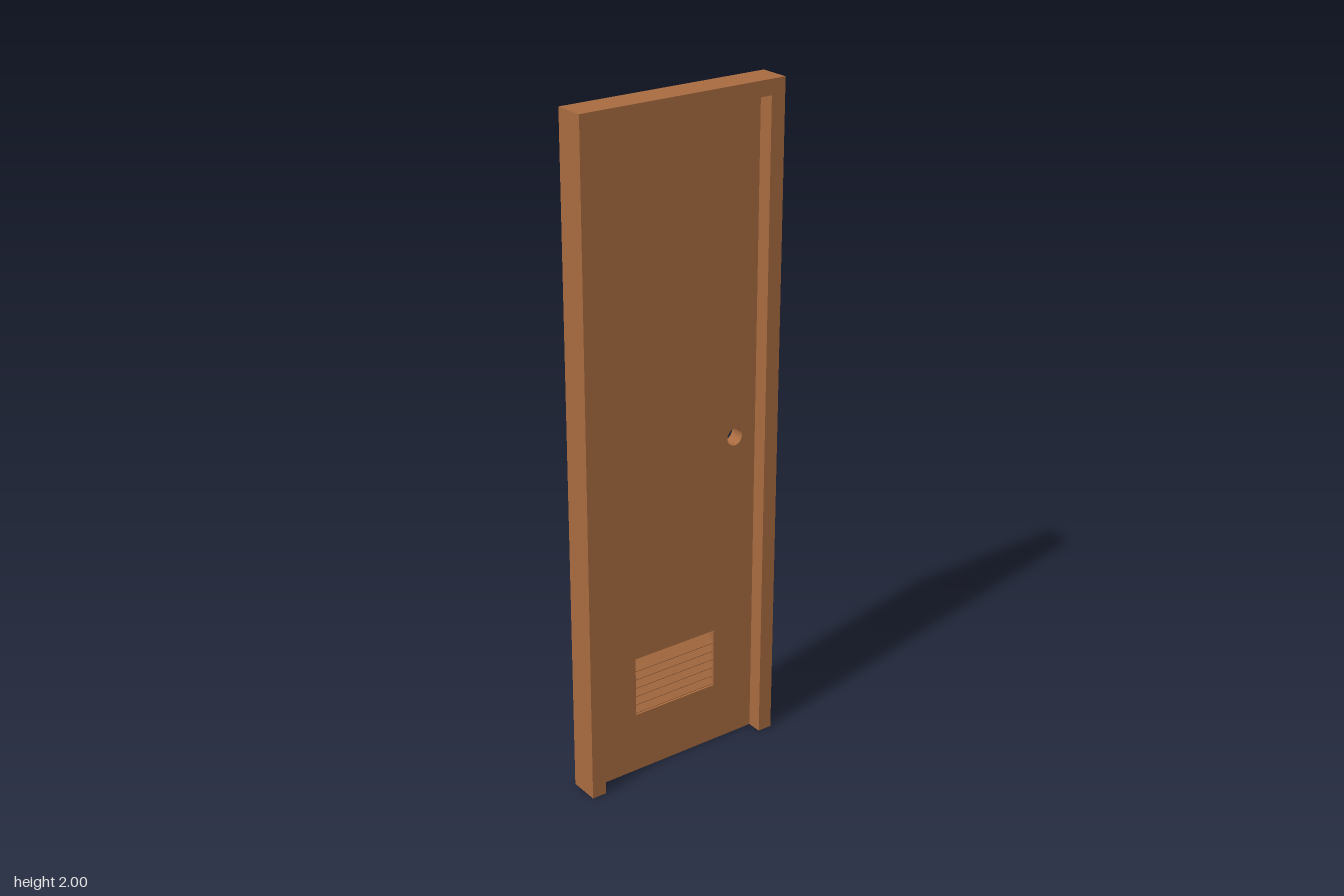
import * as THREE from 'three';

const H = 2, HALF_W = 0.325, HALF_T = 0.046;   // overall frame size
const IN_W = 0.28, IN_H = 1.956;               // opening inside the frame

// Extrude a flat outline (drawn as seen from +x) between two x positions
function panel(name, shape, x0, x1, material) {
  const geo = new THREE.ExtrudeGeometry(shape, { depth: x1 - x0, bevelEnabled: false, curveSegments: 32 });
  geo.rotateY(Math.PI / 2);
  geo.translate(x0, 0, 0);
  const mesh = new THREE.Mesh(geo, material);
  mesh.name = name;
  return mesh;
}

const outline = (points) => new THREE.Shape(points.map(([a, b]) => new THREE.Vector2(a, b)));
const rect = (w, y0, y1) => outline([[-w, y0], [w, y0], [w, y1], [-w, y1]]);

export function createModel() {
  const group = new THREE.Group();
  group.name = 'louveredDoor';
  const wood = new THREE.MeshStandardMaterial({ color: 0xa96b40 });
  wood.name = 'brown wood';

  // Frame: two jambs and a head, open at the floor
  group.add(panel('frame', outline([
    [-HALF_W, 0], [-IN_W, 0], [-IN_W, IN_H], [IN_W, IN_H],
    [IN_W, 0], [HALF_W, 0], [HALF_W, H], [-HALF_W, H],
  ]), -HALF_T, HALF_T, wood));

  // Door leaf, flush with the frame on the -x side, with knob hole and vent
  const leaf = rect(IN_W, 0, IN_H);
  const knobHole = new THREE.Path();
  knobHole.absarc(0.208, 0.978, 0.026, 0, Math.PI * 2, true);
  leaf.holes.push(knobHole, rect(0.14, 0.188, 0.374));
  group.add(panel('doorLeaf', leaf, -HALF_T, 0, wood));

  // Vent louvers, sloping down towards +x
  const louvers = new THREE.Group();
  louvers.name = 'ventLouvers';
  const slatGeo = new THREE.BoxGeometry(0.055, 0.008, 0.28);
  for (let i = 0; i < 6; i++) {
    const slat = new THREE.Mesh(slatGeo, wood);
    slat.name = 'louver' + (i + 1);
    slat.position.set(-HALF_T / 2, 0.2105 + i * 0.0278, 0);
    slat.rotation.z = -Math.PI / 4;
    louvers.add(slat);
  }
  group.add(louvers);
  return group;
}
